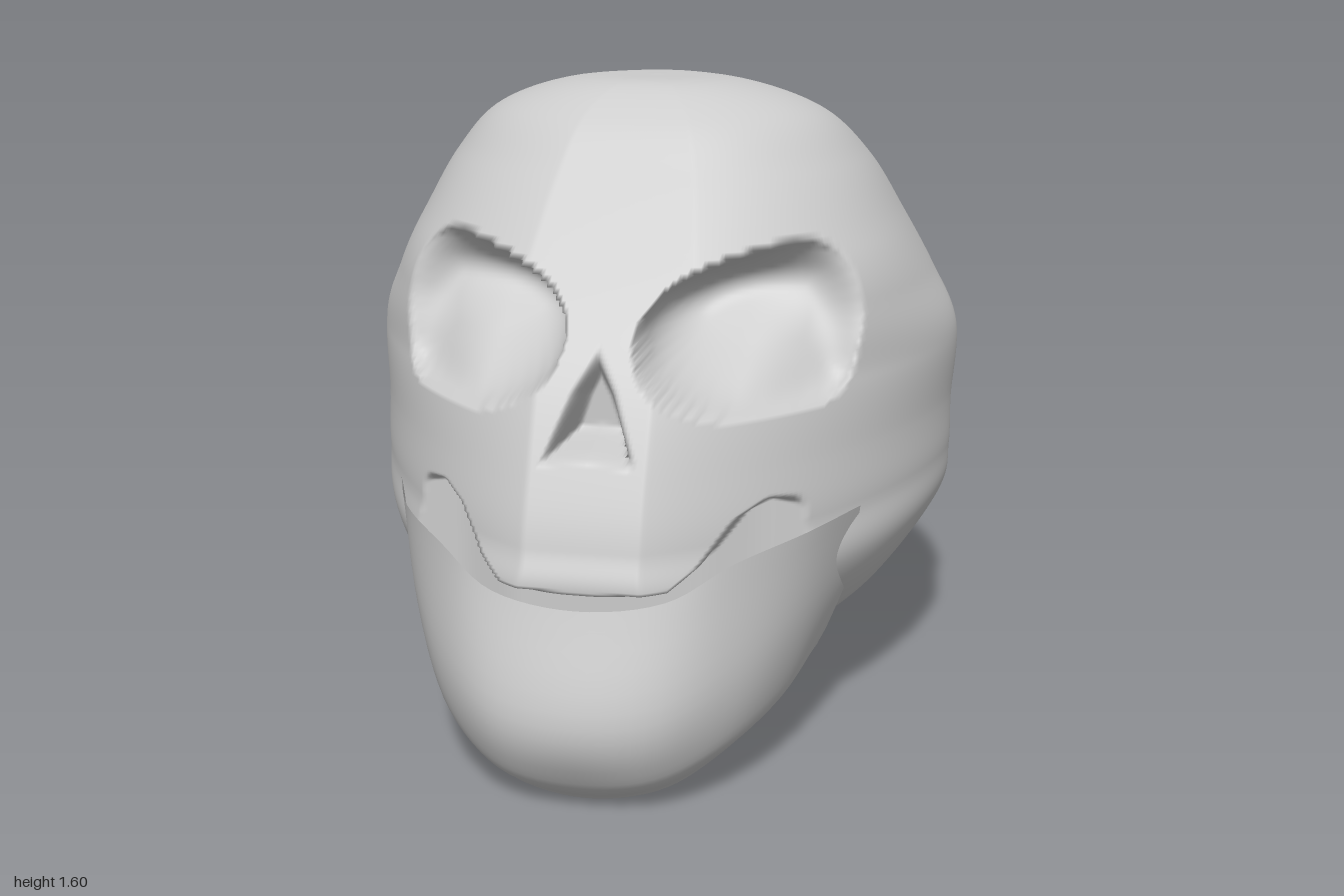
import * as THREE from 'three';

const material = new THREE.MeshStandardMaterial({ color: 0xcccccc, side: THREE.DoubleSide });
const { smoothstep, lerp } = THREE.MathUtils;

// Cranium levels from base to crown: y, half width, front z, back z, z of greatest width
const LEVELS = [
  [0.03, 0, 0.2, 0.2, 0.2],
  [0.03, 0.15, 0.45, 0, 0.2],
  [0.09, 0.31, 0.56, -0.45, 0.1],
  [0.14, 0.41, 0.62, -0.68, 0],
  [0.24, 0.53, 0.66, -0.86, -0.1],
  [0.33, 0.63, 0.72, -0.965, -0.12],
  [0.5, 0.75, 0.89, -0.98, -0.15],
  [0.62, 0.768, 0.875, -0.985, -0.15],
  [0.75, 0.768, 0.83, -0.985, -0.15],
  [0.95, 0.775, 0.735, -0.94, -0.15],
  [1.1, 0.71, 0.635, -0.89, -0.15],
  [1.25, 0.63, 0.51, -0.79, -0.13],
  [1.4, 0.54, 0.38, -0.63, -0.1],
  [1.52, 0.42, 0.27, -0.37, -0.05],
  [1.59, 0.22, 0.15, -0.18, -0.02],
  [1.6, 0, -0.02, -0.02, -0.02],
];

const smoothOutline = (points) => new THREE.CatmullRomCurve3(
  points.map(([x, y]) => new THREE.Vector3(x, y, 0)), true).getPoints(36).slice(0, -1).map(({ x, y }) => [x, y]);

// Outlines of the hollows, as seen from the front on the +x side
const EYE = smoothOutline([[0.085, 1.06], [0.12, 0.97], [0.24, 0.9], [0.4, 0.88], [0.53, 0.9], [0.565, 1.0],
  [0.57, 1.1], [0.52, 1.21], [0.45, 1.25], [0.33, 1.235], [0.2, 1.195], [0.11, 1.13]]);
const NOSE = [[0, 1.05], [-0.055, 0.95], [-0.11, 0.8], [0, 0.81], [0.11, 0.8], [0.055, 0.95]];
// Lower edge of the upper jaw: |x|, y
const ARCH = [[0, 0.525], [0.2, 0.535], [0.26, 0.58], [0.33, 0.67], [0.39, 0.7], [0.45, 0.69], [0.52, 0.64], [1, 0.55]];

function archHeight(x) {
  const i = Math.max(1, ARCH.findIndex((p) => p[0] >= x));
  const [a, b] = [ARCH[i - 1], ARCH[i]];
  return lerp(a[1], b[1], (x - a[0]) / (b[0] - a[0]));
}

// Distance to an outline for points inside it, otherwise 0
function insideDistance(x, y, poly) {
  let inside = false;
  let best = Infinity;
  poly.forEach(([ax, ay], i) => {
    const [bx, by] = poly[(i + 1) % poly.length];
    if (ay > y !== by > y && x < ((bx - ax) * (y - ay)) / (by - ay) + ax) inside = !inside;
    const dx = bx - ax;
    const dy = by - ay;
    const t = Math.min(1, Math.max(0, ((x - ax) * dx + (y - ay) * dy) / (dx * dx + dy * dy)));
    best = Math.min(best, Math.hypot(x - ax - dx * t, y - ay - dy * t));
  });
  return inside ? best : 0;
}

// Press the eye sockets, nose and mouth into the front of the cranium
function carve(x, y, z) {
  const ax = Math.abs(x);
  const sink = (amount, target) => { z -= amount * Math.max(0, z - target); };
  if (z < 0.1) return z;
  // Round bowl that is steep at its rim
  const bowl = 1 - Math.min(1, insideDistance(ax, y, EYE) / 0.13);
  const eyeFloor = lerp(0.52 - 0.2 * smoothstep(ax, 0.3, 0.55), 0.27, smoothstep(y, 0.88, 1.18));
  sink(Math.sqrt(1 - bowl * bowl), eyeFloor);
  sink(smoothstep(insideDistance(x, y, NOSE), 0, 0.04), 0.64);
  sink(smoothstep(archHeight(ax) - y, 0, 0.03), lerp(0.62, 0.55, smoothstep(ax, 0.2, 0.4)));
  return z;
}

function gridMesh(name, rows, closed) {
  const n = rows[0].length;
  const index = [];
  for (let i = 0; i < rows.length - 1; i++) {
    for (let j = 0; j < (closed ? n : n - 1); j++) {
      const k = (j + 1) % n;
      const [a, b, c, d] = [i * n + j, i * n + k, (i + 1) * n + k, (i + 1) * n + j];
      index.push(a, b, c, a, c, d);
    }
  }
  const geometry = new THREE.BufferGeometry().setFromPoints(rows.flat());
  geometry.setIndex(index);
  geometry.computeVertexNormals();
  const mesh = new THREE.Mesh(geometry, material);
  mesh.name = name;
  return mesh;
}

const spline = (points) => new THREE.CatmullRomCurve3(points, false, 'catmullrom', 0.5);

function createCranium() {
  const shape = spline(LEVELS.map(([y, w, , , c]) => new THREE.Vector3(w, y, c)));
  const ends = spline(LEVELS.map(([, , f, b]) => new THREE.Vector3(f, b, 0)));
  const rows = [];
  const [rowCount, columns] = [190, 340];
  for (let i = 0; i <= rowCount; i++) {
    // Rows crowd around the face, columns around the front
    const u = i / rowCount;
    const t = Math.min(1, u + 0.08 * Math.sin(u * Math.PI * 2));
    const { x: w, y, z: c } = shape.getPoint(t);
    const { x: front, y: back } = ends.getPoint(t);
    // Full under the jaw, pointed at the cheeks, full again at the forehead
    const frontPower = 1.52 + 0.33 * (1 - smoothstep(y, 0.3, 0.6)) + 0.5 * smoothstep(y, 0.92, 1.22);
    const backPower = lerp(1.65, 1.5, smoothstep(y, 1, 1.3));
    const row = [];
    for (let j = 0; j < columns; j++) {
      const around = (j / columns) * Math.PI * 2;
      const a = around - 0.35 * Math.sin(around);
      const [s, k] = [Math.sin(a), Math.cos(a)];
      const e = 2 / (k > 0 ? frontPower : backPower);
      const x = w * Math.sign(s) * Math.abs(s) ** e;
      // Slightly overlong ends are cut flat at the face and the back of the head
      const reach = Math.min(1, (k > 0 ? 1.05 : 1.04) * Math.abs(k) ** e);
      const z = c + (k > 0 ? front - c : back - c) * reach;
      row.push(new THREE.Vector3(x, y, carve(x, y, z)));
    }
    rows.push(row);
  }
  return gridMesh('cranium', rows, true);
}

// Jaw shell: half rows from the chin to the back edge, bottom row first
const JAW = [
  [[0, 0, 0.85], [0.17, 0.03, 0.84], [0.29, 0.085, 0.76], [0.41, 0.16, 0.58], [0.49, 0.25, 0.41]],
  [[0, 0.08, 0.94], [0.18, 0.1, 0.92], [0.33, 0.16, 0.81], [0.44, 0.22, 0.62], [0.515, 0.3, 0.375]],
  [[0, 0.24, 1.0], [0.2, 0.26, 0.96], [0.36, 0.33, 0.82], [0.48, 0.4, 0.62], [0.56, 0.43, 0.365]],
  [[0, 0.5, 0.93], [0.2, 0.525, 0.905], [0.34, 0.595, 0.82], [0.485, 0.62, 0.64], [0.585, 0.61, 0.39]],
];

function createJaw() {
  const across = JAW.map((half) => {
    const left = half.map((p) => new THREE.Vector3(...p));
    const right = half.slice(1).reverse().map(([x, y, z]) => new THREE.Vector3(-x, y, z));
    return spline([...right, ...left]).getPoints(48);
  });
  const columns = across[0].map((_, j) => spline(across.map((row) => row[j])).getPoints(18));
  const rows = columns[0].map((_, i) => columns.map((column) => column[i]));
  return gridMesh('lowerJaw', rows, false);
}

export function createModel() {
  const skull = new THREE.Group();
  skull.name = 'skull';
  skull.add(createCranium(), createJaw());
  return skull;
}
